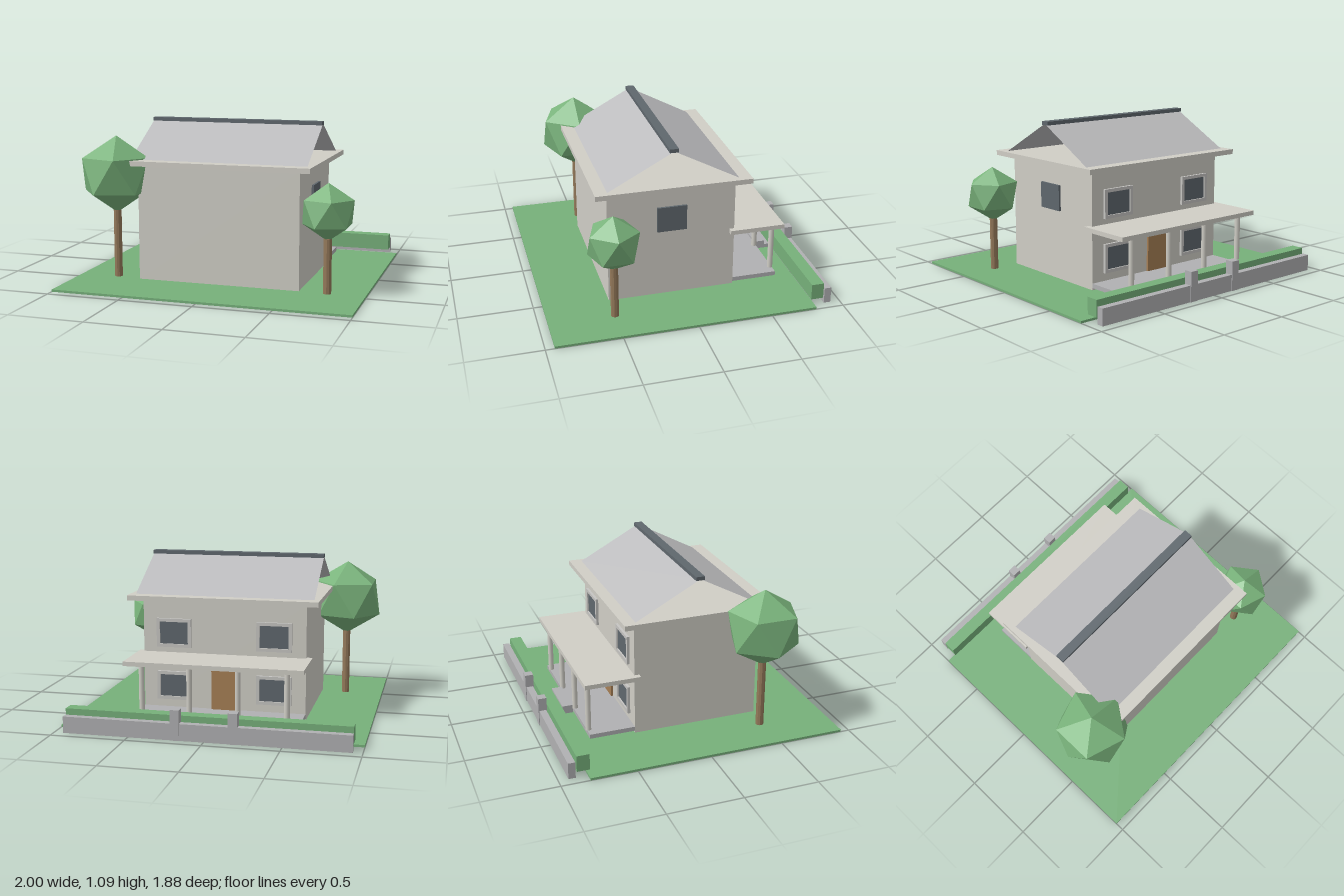
import * as THREE from 'three';
import { ConvexGeometry } from 'three/addons/geometries/ConvexGeometry.js';

const mat = (name, color, extra = {}) => {
  const m = new THREE.MeshStandardMaterial({ color, ...extra });
  m.name = name;
  return m;
};

export function createModel() {
  const model = new THREE.Group();
  model.name = 'house';
  const plaster = mat('plaster', 0xd0cec6);
  const trim = mat('trim', 0xc6c5c2);
  const sheet = mat('roofSheet', 0xbcbcbe, { side: THREE.DoubleSide });
  const stone = mat('stone', 0xb0b0b2);
  const slate = mat('slate', 0x5f676d);
  const grass = mat('grass', 0x76b07a);
  const leaf = mat('leaf', 0x7ab47c, { flatShading: true });
  const bark = mat('bark', 0x94795a, { flatShading: true });
  const wood = mat('doorWood', 0xa67f55);

  const add = (name, geometry, material, x = 0, y = 0, z = 0) => {
    const mesh = new THREE.Mesh(geometry, material);
    mesh.name = name;
    mesh.position.set(x, y, z);
    model.add(mesh);
    return mesh;
  };
  // Box given by its limits on each axis
  const box = (name, material, [x0, x1], [y0, y1], [z0, z1]) =>
    add(name, new THREE.BoxGeometry(x1 - x0, y1 - y0, z1 - z0), material,
      (x0 + x1) / 2, (y0 + y1) / 2, (z0 + z1) / 2);

  // Lawn, house body and eaves slab
  box('lawn', grass, [-1, 1], [0, 0.015], [-0.81, 0.94]);
  box('houseBody', plaster, [-0.56, 0.56], [0.015, 0.805], [-0.37, 0.5]);
  box('eavesSlab', plaster, [-0.648, 0.648], [0.803, 0.837], [-0.46, 0.59]);

  // Two thin roof slopes with open gables, and the ridge cap
  const run = 0.44, rise = 0.235, ridgeZ = 0.064;
  for (const side of [1, -1]) {
    const slope = add(side > 0 ? 'frontRoofSlope' : 'backRoofSlope',
      new THREE.PlaneGeometry(1.22, Math.hypot(run, rise)), sheet,
      0, 0.837 + rise / 2, ridgeZ + side * run / 2);
    if (side < 0) slope.rotation.y = Math.PI;
    slope.rotateX(-Math.atan2(run, rise));
  }
  box('ridgeCap', slate, [-0.61, 0.61], [1.063, 1.088], [0.034, 0.094]);

  // Side window
  box('sideWindow', slate, [0.555, 0.575], [0.49, 0.665], [-0.035, 0.165]);

  // Framed windows on the porch wall
  const frame = new THREE.Shape([[-0.12, -0.098], [0.12, -0.098], [0.12, 0.098], [-0.12, 0.098]]
    .map(p => new THREE.Vector2(...p)));
  frame.holes.push(new THREE.Path([[-0.098, -0.076], [-0.098, 0.076], [0.098, 0.076], [0.098, -0.076]]
    .map(p => new THREE.Vector2(...p))));
  const frameGeometry = new THREE.ExtrudeGeometry(frame, { depth: 0.018, bevelEnabled: false });
  for (const x of [-0.345, 0.345]) {
    for (const y of [0.212, 0.578]) {
      add('windowFrame', frameGeometry, trim, x, y, -0.388);
      box('windowPane', slate, [x - 0.098, x + 0.098], [y - 0.076, y + 0.076], [-0.378, -0.369]);
    }
  }

  // Door
  box('door', wood, [-0.085, 0.085], [0.06, 0.36], [-0.385, -0.365]);

  // Porch: floor, roof, columns and steps
  box('porchFloor', stone, [-0.56, 0.56], [0.03, 0.06], [-0.682, -0.37]);
  box('porchRoof', plaster, [-0.598, 0.598], [0.412, 0.442], [-0.717, -0.337]);
  for (const x of [-0.485, -0.162, 0.162, 0.485]) {
    add('porchColumn', new THREE.CylinderGeometry(0.019, 0.019, 0.355, 12), plaster, x, 0.236, -0.67);
  }
  box('upperStep', stone, [-0.147, 0.147], [0.018, 0.075], [-0.755, -0.682]);
  box('lowerStep', stone, [-0.147, 0.147], [0.018, 0.045], [-0.795, -0.755]);

  // Hedge, garden wall and gate posts
  box('hedge', grass, [-0.938, 0.938], [0.04, 0.15], [-0.88, -0.795]);
  box('gardenWall', stone, [-0.938, 0.938], [0, 0.11], [-0.935, -0.888]);
  for (const x of [-0.188, 0.188]) {
    box('gatePost', stone, [x - 0.03, x + 0.03], [0, 0.2], [-0.94, -0.882]);
  }

  // Trees: straight trunk under a twenty-sided crown standing on a corner
  const tree = (name, x, z, crownY, r) => {
    const points = [new THREE.Vector3(0, r, 0), new THREE.Vector3(0, -r, 0)];
    for (let i = 0; i < 5; i++) {
      const a = i * Math.PI * 0.4, c = Math.cos(a) * 0.8944 * r, s = Math.sin(a) * 0.8944 * r;
      points.push(new THREE.Vector3(c, 0.4472 * r, s), new THREE.Vector3(-c, -0.4472 * r, -s));
    }
    const top = crownY - r * 0.9;
    add(name + 'Trunk', new THREE.CylinderGeometry(0.027, 0.027, top - 0.01, 10), bark, x, (top + 0.01) / 2, z);
    add(name + 'Crown', new ConvexGeometry(points), leaf, x, crownY, z);
  };
  tree('largeTree', -0.732, 0.464, 0.727, 0.264);
  tree('smallTree', 0.748, 0.5, 0.55, 0.19);

  return model;
}
